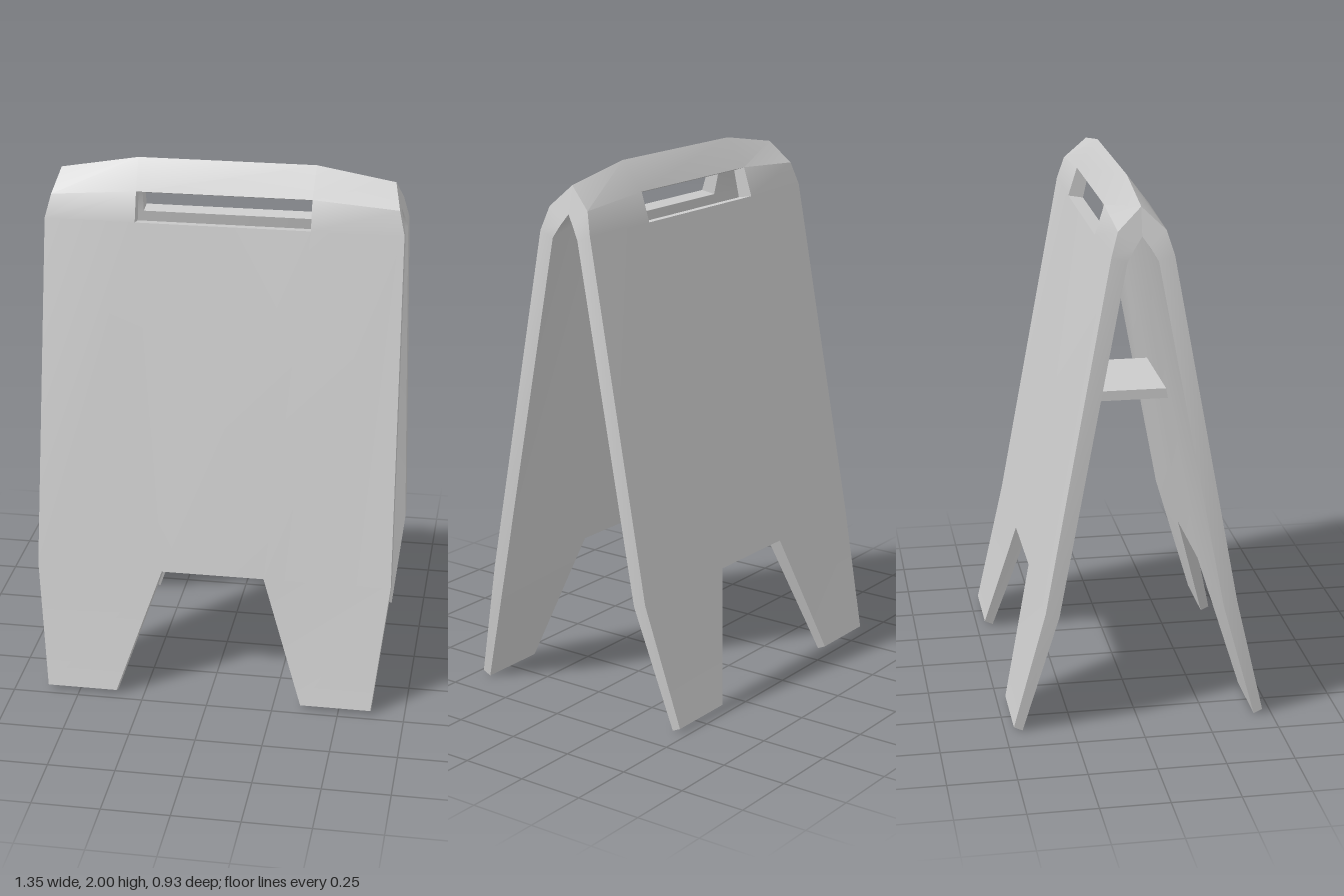
import * as THREE from 'three';
import { toCreasedNormals } from 'three/addons/utils/BufferGeometryUtils.js';

// Rows from the feet up to the ridge. Each layer lists the inner column and the edge as [x, y, z].
const ROWS = [
  { outer: [[0.355, 0.015, 0.467], [0.622, 0.015, 0.467]], inner: [[0.355, 0, 0.435], [0.622, 0, 0.435]] },      // feet
  { outer: [[0.195, 0.48, 0.352], [0.675, 0.48, 0.352]], inner: [[0.195, 0.465, 0.302], [0.675, 0.465, 0.302]] }, // knee
  { outer: [[0.325, 1.785, 0.115], [0.664, 1.785, 0.111]], inner: [[0.325, 1.775, 0.058], [0.664, 1.765, 0.055]] }, // slot bottom
  { outer: [[0.325, 1.893, 0.081], [0.643, 1.87, 0.085]], inner: [[0.325, 1.877, 0.035], [0.654, 1.81, 0.028]] }, // slot top
  { outer: [[0.33, 2, 0], [0.62, 1.95, 0]], inner: [[0.33, 1.91, 0], [0.643, 1.85, 0]] },                         // ridge
];

// Corner of the panel grid: columns 0 and 3 are the edges, 1 and 2 border the openings
function corner(layer, row, col) {
  const [x, y, z] = ROWS[row][layer][col === 0 || col === 3 ? 1 : 0];
  return [col < 2 ? -x : x, y, z];
}

// The middle cell is left open for the foot notch (band 0) and the handle slot (band 2)
const solid = (band, col) =>
  band >= 0 && band < 4 && col >= 0 && col < 3 && !(col === 1 && (band === 0 || band === 2));

function panelGeometry() {
  const positions = [];
  const quad = (a, b, c, d) => positions.push(...a, ...b, ...c, ...a, ...c, ...d);
  for (let r = 0; r < 4; r++) {
    for (let c = 0; c < 3; c++) {
      if (!solid(r, c)) continue;
      const loop = [[r, c], [r, c + 1], [r + 1, c + 1], [r + 1, c]];
      const out = loop.map(([i, j]) => corner('outer', i, j));
      const inn = loop.map(([i, j]) => corner('inner', i, j));
      quad(...out);
      quad(inn[3], inn[2], inn[1], inn[0]);
      // Walls along the rim and the openings; the ridge stays open to meet the other panel
      const neighbours = [[r - 1, c], [r, c + 1], [r + 1, c], [r, c - 1]];
      neighbours.forEach(([nr, nc], k) => {
        if (nr === 4 || solid(nr, nc)) return;
        const n = (k + 1) % 4;
        quad(out[k], inn[k], inn[n], out[n]);
      });
    }
  }
  const geometry = new THREE.BufferGeometry();
  geometry.setAttribute('position', new THREE.Float32BufferAttribute(positions, 3));
  return toCreasedNormals(geometry, 0.45);
}

export function createModel() {
  const group = new THREE.Group();
  group.name = 'foldingFloorSign';
  const material = new THREE.MeshStandardMaterial({ color: 0xcccccc });

  // Two identical panels leaning together at the ridge
  const geometry = panelGeometry();
  ['frontPanel', 'backPanel'].forEach((name, i) => {
    const panel = new THREE.Mesh(geometry, material);
    panel.name = name;
    panel.rotation.y = i * Math.PI;
    group.add(panel);
  });

  // Flat brace between the panels
  const brace = new THREE.Mesh(new THREE.BoxGeometry(0.4, 0.038, 0.36), material);
  brace.name = 'spreaderBrace';
  brace.position.y = 1.137;
  group.add(brace);

  return group;
}
